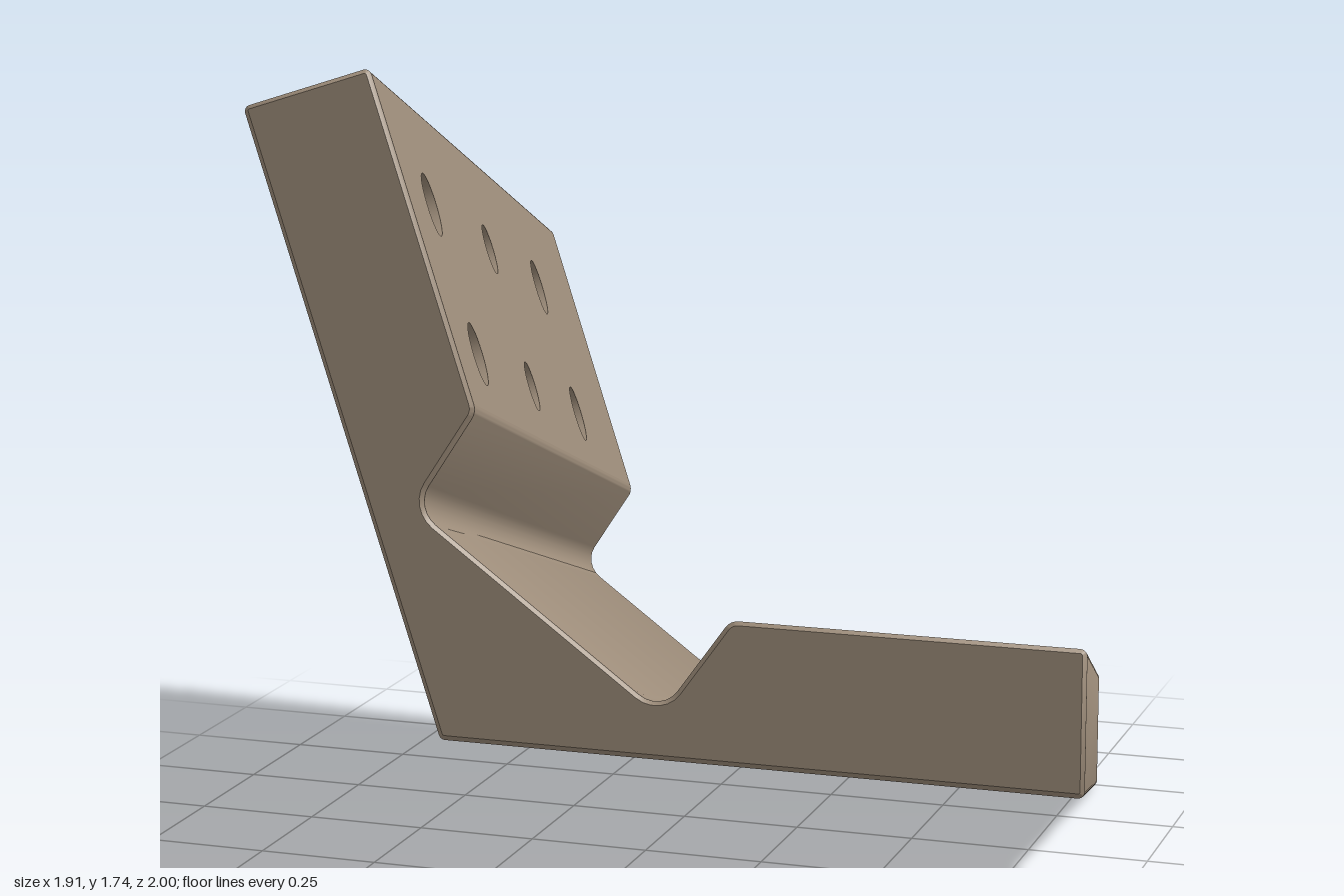
import * as THREE from 'three';
import { toCreasedNormals } from 'three/addons/utils/BufferGeometryUtils.js';

const BEVEL = 0.008, ARC = 6;
// Section at the front end, counter-clockwise: x, y, corner radius
const SECTION = [
  [-0.19, 0.59, 0.012], [0.955, 0.59, 0.012], [0.955, 0.845, 0.012],
  [0.34, 0.845, 0.03], [0.216, 0.673, 0.05], [-0.231, 1.0, 0.05],
  [-0.115, 1.175, 0.03], [-0.3, 1.755, 0.012], [-0.535, 1.68, 0.012],
];
const N = SECTION.length;

// The bar runs obliquely: each section slides sideways and down toward the back
const slide = (x, y, z) =>
  new THREE.Vector3(x + 0.2125 * (z - 1), y + 0.2925 * (z - 1), z);
const RUN = new THREE.Vector3(0.2125, 0.2925, 1).normalize();

// Section outline with rounded corners, optionally inset for the end bevels
function outline(inset) {
  const corners = SECTION.map(([x, y]) => new THREE.Vector2(x, y));
  const points = [];
  corners.forEach((p, i) => {
    const d1 = p.clone().sub(corners[(i + N - 1) % N]).normalize();
    const d2 = corners[(i + 1) % N].clone().sub(p).normalize();
    const n1 = new THREE.Vector2(-d1.y, d1.x), n2 = new THREE.Vector2(-d2.y, d2.x);
    const turn = Math.atan2(d1.cross(d2), d1.dot(d2)), s = Math.sign(turn);
    const r = SECTION[i][2] - s * inset;
    const centre = p.clone()
      .addScaledVector(n1.clone().add(n2), inset / (1 + n1.dot(n2)))
      .addScaledVector(d1, -r * Math.tan(Math.abs(turn) / 2))
      .addScaledVector(n1, s * r);
    for (let k = 0; k <= ARC; k++) {
      const spoke = n1.clone().multiplyScalar(-s * r);
      points.push(spoke.rotateAround(new THREE.Vector2(), turn * k / ARC).add(centre));
    }
  });
  return points;
}

const FULL = outline(0), INSET = outline(BEVEL);
const FRONT = 1 - BEVEL, BACK = -1 + BEVEL;
const PANEL_EDGES = [0, 2, 6, 8]; // drilled faces, built separately

// Undrilled faces, rounded corners, bevels and end caps
function bodyGeometry() {
  const pos = [];
  const tri = (...v) => v.forEach(p => pos.push(p.x, p.y, p.z));
  const ring = (pts, z) => pts.map(p => slide(p.x, p.y, z));
  const rings = [ring(INSET, 1), ring(FULL, FRONT), ring(FULL, BACK), ring(INSET, -1)];
  const skipped = PANEL_EDGES.map(e => e * (ARC + 1) + ARC);
  for (let r = 0; r < 3; r++) {
    for (let k = 0; k < FULL.length; k++) {
      if (r === 1 && skipped.includes(k)) continue;
      const m = (k + 1) % FULL.length;
      const a = rings[r][k], b = rings[r + 1][k], c = rings[r + 1][m], d = rings[r][m];
      tri(a, b, c);
      tri(a, c, d);
    }
  }
  for (const [a, b, c] of THREE.ShapeUtils.triangulateShape(INSET, [])) {
    tri(rings[0][a], rings[0][b], rings[0][c]);
    tri(rings[3][a], rings[3][c], rings[3][b]);
  }
  const geometry = new THREE.BufferGeometry();
  geometry.setAttribute('position', new THREE.Float32BufferAttribute(pos, 3));
  return toCreasedNormals(geometry, 0.6);
}

// Local frame of a drilled face: x along the section edge, z outward
function panelFrame(edge) {
  const a = FULL[edge * (ARC + 1) + ARC], b = FULL[((edge + 1) % N) * (ARC + 1)];
  const along = new THREE.Vector3(b.x - a.x, b.y - a.y, 0).normalize();
  const out = along.clone().cross(RUN).normalize();
  const matrix = new THREE.Matrix4()
    .makeBasis(along, out.clone().cross(along), out)
    .setPosition(slide(a.x, a.y, 0));
  const inverse = matrix.clone().invert();
  const toLocal = p => p.clone().applyMatrix4(inverse);
  const corners = [[a, FRONT], [a, BACK], [b, BACK], [b, FRONT]]
    .map(([p, z]) => toLocal(slide(p.x, p.y, z)));
  return { matrix, toLocal, corners };
}

// Flat face pierced by round holes
function panelGeometry(frame, holes) {
  const shape = new THREE.Shape(frame.corners.map(p => new THREE.Vector2(p.x, p.y)));
  for (const { centre, radius } of holes) {
    const c = frame.toLocal(centre);
    shape.holes.push(new THREE.Path().absarc(c.x, c.y, radius, 0, Math.PI * 2));
  }
  return new THREE.ShapeGeometry(shape, 16).applyMatrix4(frame.matrix);
}

export function createModel() {
  const group = new THREE.Group();
  const metal = new THREE.MeshStandardMaterial({ color: 0xa08f7c, side: THREE.DoubleSide });
  metal.name = 'taupe metal';
  const add = (name, geometry) => {
    const mesh = new THREE.Mesh(geometry, metal);
    mesh.name = name;
    group.add(mesh);
  };
  add('angleBody', bodyGeometry());

  // Three rows of two holes in each leg; the middle row is smaller
  const baseHoles = [], wallHoles = [];
  [[0.755, 0.058], [0.16, 0.049], [-0.435, 0.058]].forEach(([z, radius]) => {
    for (const x of [0.478, 0.758]) baseHoles.push({ centre: slide(x, 0.845, z), radius });
    for (const y of [1.56, 1.298]) {
      wallHoles.push({ centre: slide(-0.115 - 0.3165 * (y - 1.175), y, z), radius });
    }
  });

  const legs = [['base', 2, 0, baseHoles], ['wall', 6, 8, wallHoles]];
  for (const [name, innerEdge, outerEdge, holes] of legs) {
    const inner = panelFrame(innerEdge), outer = panelFrame(outerEdge);
    add(name + 'InnerFace', panelGeometry(inner, holes));
    add(name + 'OuterFace', panelGeometry(outer, holes));

    // Bores run square through the leg
    const origin = new THREE.Vector3().setFromMatrixPosition(outer.matrix);
    const depth = -inner.toLocal(origin).z;
    for (const { centre, radius } of holes) {
      const c = inner.toLocal(centre);
      const bore = new THREE.CylinderGeometry(radius, radius, depth, 32, 1, true);
      bore.rotateX(Math.PI / 2).translate(c.x, c.y, -depth / 2);
      add(name + 'Bore', bore.applyMatrix4(inner.matrix));
    }
  }
  return group;
}
